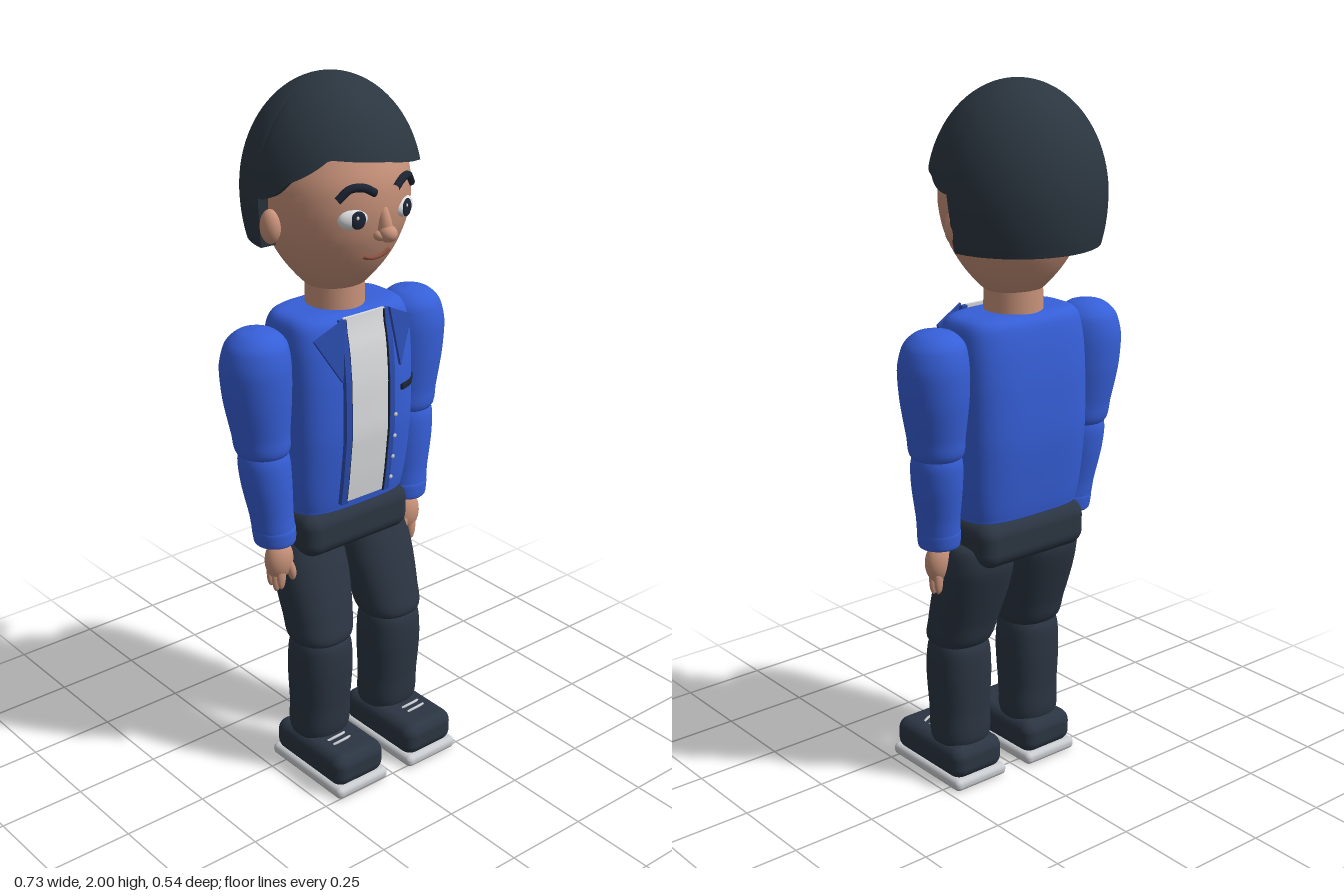
import * as THREE from 'three';
import { RoundedBoxGeometry } from 'three/addons/geometries/RoundedBoxGeometry.js';

const mat = (name, color, extra = {}) => new THREE.MeshStandardMaterial({ name, color, ...extra });
const M = {
  skin: mat('skin', 0xc8927a),
  hair: mat('hair', 0x2b3640, { side: THREE.DoubleSide }),
  blue: mat('jacket blue', 0x365fd8),
  trim: mat('jacket trim', 0x2b4cae),
  navy: mat('dark trim', 0x1c2433),
  dark: mat('trousers', 0x2b3542),
  white: mat('shirt white', 0xdddee0),
  sole: mat('sole grey', 0xc9ccd0),
  mouth: mat('lips', 0x8a4f40),
};

function mesh(parent, name, geo, material, x = 0, y = 0, z = 0) {
  const m = new THREE.Mesh(geo, material);
  m.name = name;
  m.position.set(x, y, z);
  parent.add(m);
  return m;
}
function ball(parent, name, material, x, y, z, rx, ry, rz) {
  const m = mesh(parent, name, new THREE.SphereGeometry(1, 28, 18), material, x, y, z);
  m.scale.set(rx, ry, rz);
  return m;
}
const tube = (pts, r) => new THREE.TubeGeometry(
  new THREE.CatmullRomCurve3(pts.map(p => new THREE.Vector3(...p))), 16, r, 8);

// Skin a list of closed rings, ordered from top to bottom
function skinRings(rings) {
  const n = rings[0].length, index = [];
  for (let i = 0; i < rings.length - 1; i++) {
    for (let j = 0; j < n; j++) {
      const a = i * n + j, b = i * n + (j + 1) % n;
      index.push(a, a + n, b, b, a + n, b + n);
    }
  }
  const g = new THREE.BufferGeometry();
  g.setAttribute('position', new THREE.Float32BufferAttribute(rings.flat(2), 3));
  g.setIndex(index);
  g.computeVertexNormals();
  return g;
}

// Smooth loft; sections are [y, centre x, centre z, half width, half depth], power squares the ring
function loft(sections, power = 2, steps = 36, n = 40) {
  const curve = f => new THREE.CatmullRomCurve3(sections.map(f), false, 'catmullrom', 0.4);
  const mid = curve(s => new THREE.Vector3(s[1], s[0], s[2]));
  const size = curve(s => new THREE.Vector3(s[3], s[4], 0));
  const rings = [];
  for (let i = 0; i <= steps; i++) {
    const c = mid.getPoint(i / steps), r = size.getPoint(i / steps);
    const ring = [];
    for (let j = 0; j < n; j++) {
      const a = j / n * Math.PI * 2, s = Math.sin(a), k = Math.cos(a);
      const q = v => Math.sign(v) * Math.abs(v) ** (2 / power);
      ring.push([c.x + Math.max(r.x, 0) * q(s), c.y, c.z + Math.max(r.y, 0) * q(k)]);
    }
    rings.push(ring);
  }
  return skinRings(rings);
}

// Linear lookup in rows of [key, value], keys ascending
function lookup(rows, k) {
  if (k <= rows[0][0]) return rows[0][1];
  for (let i = 1; i < rows.length; i++) {
    const [a, va] = rows[i - 1], [b, vb] = rows[i];
    if (k <= b) return va + (vb - va) * (k - a) / (b - a);
  }
  return rows[rows.length - 1][1];
}

const TORSO = [
  [1.388, 0.003, -0.015, 0, 0], [1.387, 0.003, -0.015, 0.15, 0.08], [1.365, 0.003, -0.012, 0.188, 0.11],
  [1.3, 0.003, -0.01, 0.202, 0.126], [1.2, 0.003, -0.01, 0.205, 0.136], [1.05, 0.003, -0.01, 0.205, 0.138],
  [0.92, 0.003, -0.01, 0.2, 0.125], [0.835, 0.003, -0.01, 0.188, 0.113], [0.822, 0.003, -0.01, 0.17, 0.1], [0.82, 0.003, -0.01, 0, 0]];
const depthRows = TORSO.slice(2, 8).reverse().map(s => [s[0], s[4]]);
const frontZ = (x, y) => -0.01 + lookup(depthRows, y) * (1 - Math.min(Math.abs(x) / 0.205, 0.95) ** 3.5) ** (1 / 3.5);

// Press a flat geometry on to the chest
function onChest(g, lift) {
  const p = g.attributes.position;
  for (let i = 0; i < p.count; i++) p.setZ(i, p.getZ(i) + lift + frontZ(p.getX(i), p.getY(i)));
  g.computeVertexNormals();
  return g;
}
const plate = (x, y, w, h, d, lift) => onChest(new THREE.BoxGeometry(w, h, d, 6, 16, 1).translate(x, y, 0), lift);

function addHead(root) {
  const head = new THREE.Group();
  head.name = 'head';
  head.position.z = -0.015;
  head.rotation.y = 0.045;
  root.add(head);
  const rows = [[1.42, 0], [1.424, 0.04], [1.45, 0.087], [1.5, 0.133], [1.55, 0.166], [1.61, 0.192],
    [1.68, 0.205], [1.76, 0.2], [1.86, 0.155], [1.92, 0.08], [1.93, 0]];
  mesh(head, 'face', loft(rows.map(([y, r]) => [y, 0, 0, r, r * 0.94]).reverse()), M.skin);
  const faceZ = (x, y) => 0.94 * Math.sqrt(lookup(rows, y) ** 2 - x * x);

  for (const s of [-1, 1]) {
    ball(head, 'ear', M.skin, s * 0.212, 1.635, -0.01, 0.026, 0.046, 0.03);
    const z = faceZ(0.088, 1.67);
    ball(head, 'eye', M.white, s * 0.088, 1.67, z - 0.006, 0.041, 0.028, 0.02).rotation.y = s * 0.35;
    ball(head, 'iris', M.navy, s * 0.085, 1.67, z + 0.012, 0.021, 0.024, 0.006).rotation.y = s * 0.3;
    ball(head, 'eyeGlint', M.white, s * 0.085 - 0.007, 1.678, z + 0.018, 0.004, 0.005, 0.003);
    const brow = [[0.035, 1.733], [0.065, 1.75], [0.1, 1.75], [0.128, 1.722]];
    mesh(head, 'eyebrow', tube(brow.map(([x, y]) => [s * x, y, faceZ(x, y) + 0.006]), 0.011), M.navy);
    ball(head, 'nostril', M.skin, s * 0.018, 1.617, 0.19, 0.014, 0.013, 0.018);
  }
  mesh(head, 'noseBridge', loft([[1.71, 0, 0.17, 0, 0], [1.69, 0, 0.175, 0.013, 0.018],
    [1.65, 0, 0.188, 0.018, 0.024], [1.61, 0, 0.195, 0.018, 0.02], [1.6, 0, 0.19, 0, 0]], 2, 16, 20), M.skin);
  ball(head, 'noseTip', M.skin, 0, 1.622, 0.203, 0.024, 0.023, 0.027);
  const smile = [[-0.046, 1.56], [-0.024, 1.551], [0, 1.548], [0.024, 1.551], [0.046, 1.56]];
  mesh(head, 'mouth', tube(smile.map(([x, y]) => [x, y, faceZ(x, y) + 0.004]), 0.006), M.mouth);
  mesh(root, 'neck', new THREE.CylinderGeometry(0.08, 0.083, 0.13, 32), M.skin, 0, 1.4, -0.015);
}

// Dome with a swept fringe, cut down to the nape behind the ears
function addHair(root) {
  const fringe = [[-1, 1.71], [-0.92, 1.765], [-0.65, 1.828], [0, 1.812], [0.6, 1.785], [0.93, 1.76], [1, 1.725]];
  const n = 120, steps = 28, edge = [], lip = [];
  const rings = Array.from({ length: steps + 1 }, () => []);
  for (let j = 0; j < n; j++) {
    const a = j / n * Math.PI * 2, s = Math.sin(a), c = Math.cos(a);
    const bottom = (c > -0.03 ? lookup(fringe, s) : 1.572) - 1.7;
    const end = Math.acos(bottom / (bottom > 0 ? 0.3 : 0.35));
    for (let i = 0; i <= steps; i++) {
      const t = end * i / steps, r = Math.sin(t) * 0.238;
      rings[i].push([r * s, 1.7 + Math.cos(t) * (t < Math.PI / 2 ? 0.3 : 0.35), -0.033 + r * c * (c > 0 ? 1.03 : 1.005)]);
    }
    const [x, y, z] = rings[steps][j];
    edge.push([x, y, z]);
    lip.push([x * 0.75, y, -0.033 + (z + 0.033) * 0.75]);
  }
  mesh(root, 'hair', skinRings(rings), M.hair);
  mesh(root, 'hairUnderside', skinRings([edge, lip]), M.hair);
}

function addJacket(root) {
  mesh(root, 'jacketBody', loft(TORSO, 3.5, 54, 64), M.blue);
  mesh(root, 'shirt', plate(0, 1.118, 0.14, 0.535, 0.008, 0.004), M.white);
  for (const s of [-1, 1]) {
    mesh(root, 'jacketEdge', plate(s * 0.076, 1.115, 0.018, 0.535, 0.014, 0.007), M.trim);
    mesh(root, 'edgeSeam', plate(s * 0.0665, 1.115, 0.004, 0.535, 0.01, 0.008), M.navy);
    const tri = new THREE.Shape([[0.168, 1.342], [0.078, 1.387], [0.1, 1.222]].map(([x, y]) => new THREE.Vector2(s * x, y)));
    mesh(root, 'lapel', onChest(new THREE.ExtrudeGeometry(tri, { depth: 0.009, bevelEnabled: false }), 0.014), M.trim);
  }
  mesh(root, 'pocket', plate(0.16, 1.147, 0.08, 0.016, 0.008, 0.004), M.navy);
  for (const y of [1.08, 1.015, 0.95, 0.885]) ball(root, 'button', M.sole, 0.087, y, frontZ(0.087, y) + 0.015, 0.006, 0.006, 0.004);
}

function addArm(root, s) {
  const arm = new THREE.Group();
  arm.name = s > 0 ? 'leftArm' : 'rightArm';
  root.add(arm);
  const part = (name, rows, m) => mesh(arm, name, loft(rows.map(([y, x, z, r]) => [y, s * x, z, r, r])), m);
  part('upperSleeve', [[1.372, 0.267, -0.013, 0], [1.362, 0.267, -0.013, 0.05], [1.33, 0.268, -0.013, 0.083],
    [1.27, 0.271, -0.013, 0.096], [1.18, 0.268, -0.012, 0.093], [1.08, 0.262, -0.008, 0.08], [1.02, 0.258, -0.005, 0.07], [0.985, 0.257, -0.003, 0]], M.blue);
  part('lowerSleeve', [[1.06, 0.258, -0.005, 0], [1.04, 0.258, -0.005, 0.055], [1, 0.257, -0.003, 0.071],
    [0.93, 0.253, 0.002, 0.07], [0.84, 0.245, 0.01, 0.061], [0.765, 0.238, 0.016, 0.054], [0.76, 0.238, 0.016, 0]], M.blue);
  part('cuff', [[0.8, 0.24, 0.014, 0.05], [0.795, 0.24, 0.014, 0.06], [0.775, 0.239, 0.015, 0.06],
    [0.753, 0.238, 0.016, 0.057], [0.748, 0.238, 0.016, 0.045], [0.747, 0.238, 0.016, 0]], M.blue);
  ball(arm, 'palm', M.skin, s * 0.232, 0.695, 0.025, 0.043, 0.06, 0.034);
  for (let i = 0; i < 4; i++) {
    ball(arm, 'finger', M.skin, s * (0.247 - (i % 2) * 0.008), 0.643 + (i === 0 || i === 3 ? 0.008 : 0), 0.008 + i * 0.012, 0.014, 0.042, 0.0095);
  }
  ball(arm, 'thumb', M.skin, s * 0.205, 0.66, 0.045, 0.013, 0.038, 0.013).rotation.z = s * -0.25;
}

function addLeg(root, s) {
  const leg = new THREE.Group();
  leg.name = s > 0 ? 'leftLeg' : 'rightLeg';
  const x = s > 0 ? 0.14 : -0.116, toe = s > 0 ? 0.008 : 0;
  root.add(leg);
  const part = (name, rows) => mesh(leg, name, loft(rows.map(([y, dx, z, rx, rz]) => [y, x + dx, z, rx, rz]), 2.3), M.dark);
  part('thigh', [[0.76, -s * 0.012, -0.025, 0, 0], [0.74, -s * 0.012, -0.022, 0.08, 0.07], [0.68, -s * 0.011, -0.012, 0.104, 0.09],
    [0.6, -s * 0.009, 0.012, 0.109, 0.092], [0.5, -s * 0.005, 0.042, 0.1, 0.088], [0.43, 0, 0.06, 0.085, 0.08], [0.4, 0, 0.062, 0, 0]]);
  part('shin', [[0.46, 0, 0.06, 0, 0], [0.445, 0, 0.06, 0.065, 0.06], [0.41, 0, 0.06, 0.085, 0.083],
    [0.33, 0, 0.06, 0.091, 0.086], [0.22, 0, 0.058, 0.086, 0.08], [0.12, 0, 0.055, 0.08, 0.072], [0.1, 0, 0.055, 0, 0]]);
  mesh(leg, 'sole', new RoundedBoxGeometry(0.184, 0.036, 0.315, 4, 0.016), M.sole, x, 0.018, 0.102 + toe);
  mesh(leg, 'shoe', new RoundedBoxGeometry(0.178, 0.1, 0.3, 5, 0.036), M.dark, x, 0.076, 0.102 + toe);
  for (const z of [0.145, 0.17]) {
    mesh(leg, 'lace', tube([[-0.032, 0.125, 0], [-0.012, 0.13, 0.004], [0.012, 0.13, 0.003], [0.032, 0.125, -0.004]], 0.004), M.sole, x + s * 0.01, 0, z + toe);
  }
}

export function createModel() {
  const root = new THREE.Group();
  root.name = 'figure';
  addHead(root);
  addHair(root);
  addJacket(root);
  mesh(root, 'hips', new RoundedBoxGeometry(0.372, 0.135, 0.228, 6, 0.045), M.dark, 0.002, 0.757, -0.012);
  for (const s of [-1, 1]) {
    addArm(root, s);
    addLeg(root, s);
  }
  return root;
}
